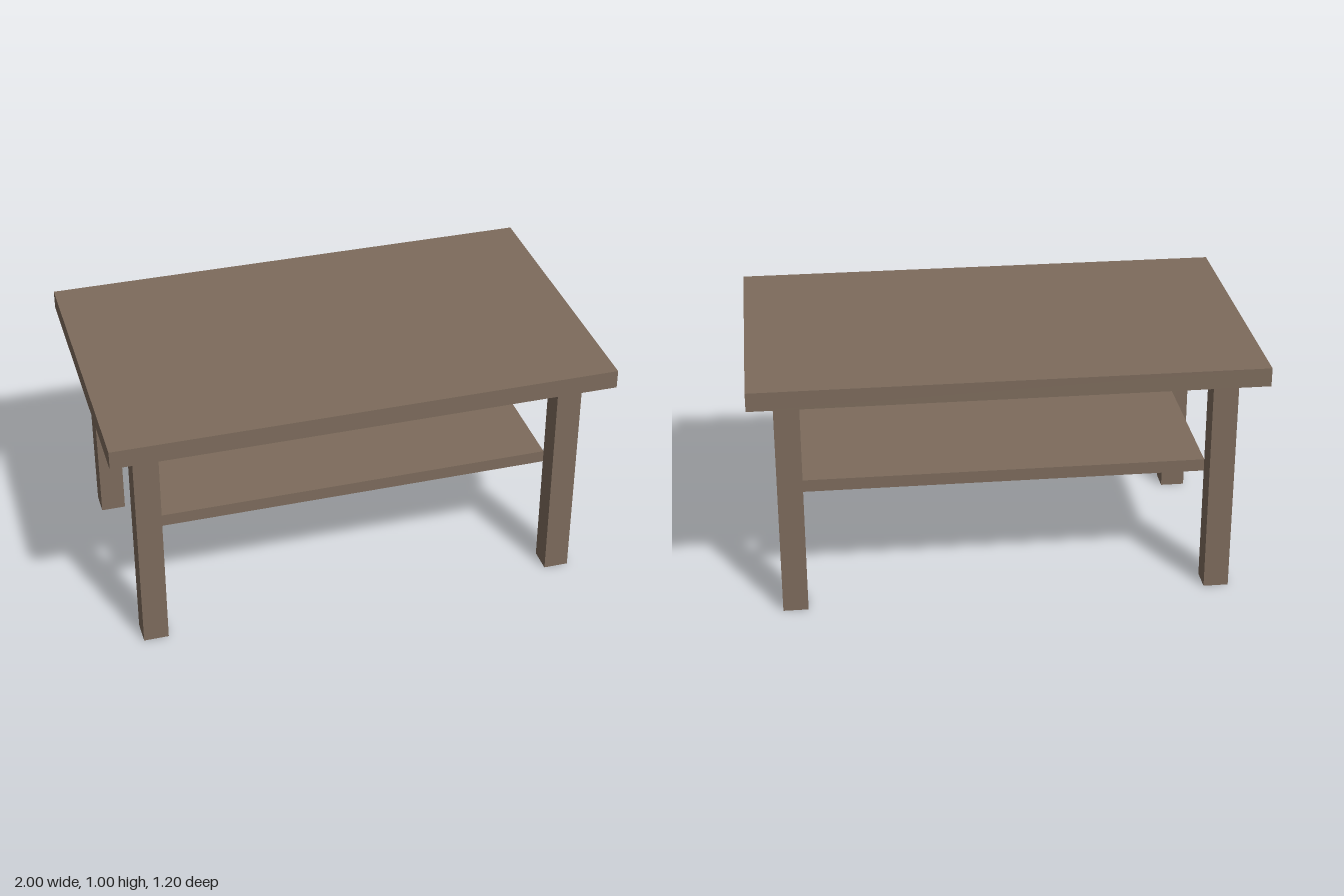
import * as THREE from 'three';

export function createModel() {
  const model = new THREE.Group();
  model.name = 'coffeeTable';
  const wood = new THREE.MeshStandardMaterial({ color: 0x7d6b5c });
  wood.name = 'brown wood';

  // Box resting on height y
  const board = (name, w, h, d, x, y, z) => {
    const mesh = new THREE.Mesh(new THREE.BoxGeometry(w, h, d), wood);
    mesh.name = name;
    mesh.position.set(x, y + h / 2, z);
    model.add(mesh);
  };

  const legHeight = 0.925;
  board('tableTop', 2, 0.075, 1.2, 0, legHeight, 0);

  // Shelf meets the inner corners of the legs
  board('shelf', 1.6, 0.05, 0.8, 0, 0.475, 0);

  // Four square legs
  for (const [side, x] of [['Left', 0.85], ['Right', -0.85]]) {
    for (const [end, z] of [['front', 0.45], ['back', -0.45]]) {
      board(`${end}${side}Leg`, 0.1, legHeight, 0.1, x, 0, z);
    }
  }
  return model;
}
